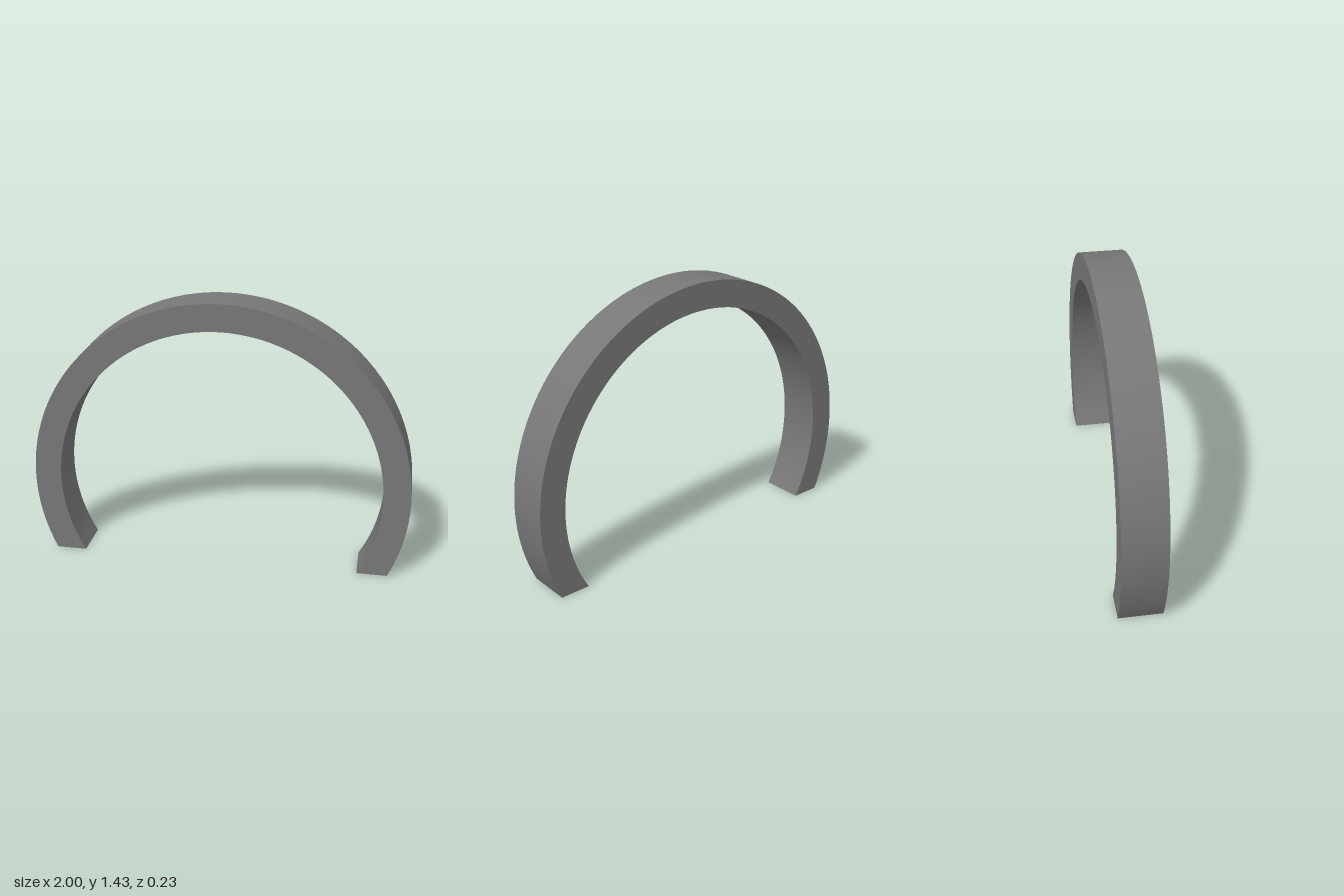
import * as THREE from 'three';
import { toCreasedNormals } from 'three/addons/utils/BufferGeometryUtils.js';

const OUTER = 1, INNER = 0.858, CENTRE_Y = 0.43, DEPTH = 0.227;

export function createModel() {
  const model = new THREE.Group();
  model.name = 'archModel';

  // Ring section cut flat along the ground
  const outerDip = Math.asin(CENTRE_Y / OUTER);
  const innerDip = Math.asin(CENTRE_Y / INNER);
  const profile = new THREE.Shape();
  profile.absarc(0, CENTRE_Y, OUTER, -outerDip, Math.PI + outerDip, false);
  profile.absarc(0, CENTRE_Y, INNER, Math.PI + innerDip, -innerDip, true);

  // Extrude the band and smooth its curved faces, keeping the edges sharp
  const geometry = new THREE.ExtrudeGeometry(profile, {
    depth: DEPTH, bevelEnabled: false, curveSegments: 48,
  });
  geometry.translate(0, 0, -DEPTH / 2);

  const arch = new THREE.Mesh(
    toCreasedNormals(geometry, 0.5),
    new THREE.MeshStandardMaterial({ color: 0x777777 }),
  );
  arch.name = 'archBand';
  model.add(arch);
  return model;
}
